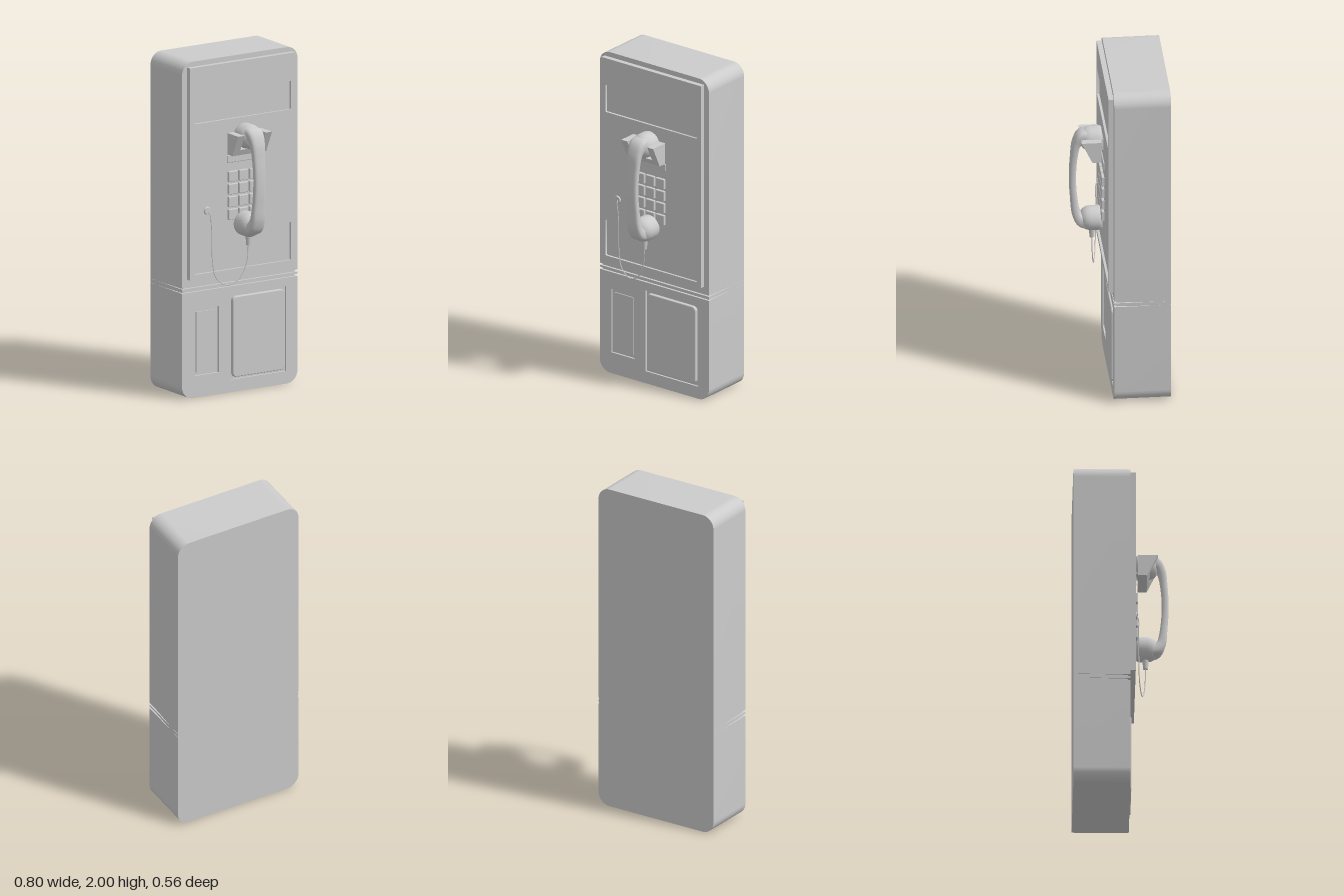
import * as THREE from 'three';
import { toCreasedNormals } from 'three/addons/utils/BufferGeometryUtils.js';
import { RoundedBoxGeometry } from 'three/addons/geometries/RoundedBoxGeometry.js';

const grey = new THREE.MeshStandardMaterial({ color: 0xcccccc, side: THREE.DoubleSide });

// Rectangle outline with separate bottom and top corner radii
function outline(x0, x1, y0, y1, rb = 0, rt = rb, Type = THREE.Shape) {
  const s = new Type();
  s.moveTo(x0 + rb, y0);
  s.lineTo(x1 - rb, y0);
  if (rb) s.absarc(x1 - rb, y0 + rb, rb, -Math.PI / 2, 0);
  s.lineTo(x1, y1 - rt);
  if (rt) s.absarc(x1 - rt, y1 - rt, rt, 0, Math.PI / 2);
  s.lineTo(x0 + rt, y1);
  if (rt) s.absarc(x0 + rt, y1 - rt, rt, Math.PI / 2, Math.PI);
  s.lineTo(x0, y0 + rb);
  if (rb) s.absarc(x0 + rb, y0 + rb, rb, Math.PI, Math.PI * 1.5);
  return s;
}

// Slab between two depths, with optional holes
function slab(shape, z0, z1, holes = []) {
  shape.holes.push(...holes);
  const g = new THREE.ExtrudeGeometry(shape, { depth: z1 - z0, bevelEnabled: false, curveSegments: 12 });
  return toCreasedNormals(g.translate(0, 0, z0), 0.5);
}
const hole = (x0, x1, y0, y1, r = 0) => outline(x0, x1, y0, y1, r, r, THREE.Path);

// Curved grip: rounded oblong sections swept along a path in the YZ plane
function gripGeometry() {
  // y, z, half width, half thickness
  const keys = [
    [1.535, 0.14, 0.06, 0.055], [1.548, 0.195, 0.055, 0.043], [1.51, 0.23, 0.047, 0.027],
    [1.41, 0.248, 0.04, 0.021], [1.28, 0.255, 0.037, 0.02], [1.15, 0.248, 0.04, 0.021],
    [1.04, 0.23, 0.047, 0.027], [1.002, 0.195, 0.055, 0.043], [1.01, 0.14, 0.06, 0.055]];
  const path = new THREE.CatmullRomCurve3(keys.map(k => new THREE.Vector3(0, k[0], k[1])));
  const size = new THREE.CatmullRomCurve3(keys.map(k => new THREE.Vector3(k[2], k[3], 0)));
  const rings = 48, sides = 20, pos = [], index = [];
  for (let i = 0; i <= rings; i++) {
    const p = path.getPoint(i / rings), t = path.getTangent(i / rings), s = size.getPoint(i / rings);
    for (let j = 0; j < sides; j++) {
      const a = j / sides * Math.PI * 2, c = Math.cos(a), d = Math.sin(a);
      const u = Math.sign(c) * Math.abs(c) ** 0.65 * s.x, v = Math.sign(d) * Math.abs(d) ** 0.65 * s.y;
      pos.push(u, p.y + t.z * v, p.z - t.y * v);
      if (i < rings) {
        const a0 = i * sides + j, b0 = i * sides + (j + 1) % sides;
        index.push(a0, b0, a0 + sides, b0, b0 + sides, a0 + sides);
      }
    }
  }
  const g = new THREE.BufferGeometry();
  g.setAttribute('position', new THREE.Float32BufferAttribute(pos, 3));
  g.setIndex(index);
  g.computeVertexNormals();
  return g;
}

export function createModel() {
  const model = new THREE.Group();
  model.name = 'wallTelephone';
  const add = (name, geometry, parent = model) => {
    const m = new THREE.Mesh(geometry, grey);
    m.name = name;
    parent.add(m);
    return m;
  };
  const group = name => {
    const g = new THREE.Group();
    g.name = name;
    model.add(g);
    return g;
  };
  const box = (name, x0, x1, y0, y1, z0, z1, parent, r = 0.004) =>
    add(name, new RoundedBoxGeometry(x1 - x0, y1 - y0, z1 - z0, 2, r), parent)
      .position.set((x0 + x1) / 2, (y0 + y1) / 2, (z0 + z1) / 2);

  // Cabinet: lower, band and upper sections separated by two grooves
  const cabinet = group('cabinet');
  add('lowerCabinet', slab(outline(-0.4, 0.4, 0, 0.63, 0.075, 0), -0.28, 0.038), cabinet);
  add('lowerFront', slab(outline(-0.4, 0.4, 0, 0.63, 0.075, 0), 0.038, 0.05,
    [hole(-0.065, 0.32, 0.075, 0.58), hole(-0.315, -0.145, 0.13, 0.525)]), cabinet);
  add('middleBand', slab(outline(-0.4, 0.4, 0.643, 0.655), -0.28, 0.05), cabinet);
  add('upperCabinet', slab(outline(-0.4, 0.4, 0.668, 2, 0, 0.075), -0.28, 0.05), cabinet);

  // Groove floor, tapering out to the cabinet sides towards the back
  const core = new THREE.Shape([[-0.399, 0.28], [0.399, 0.28], [0.399, 0.18], [0.388, -0.036],
    [-0.388, -0.036], [-0.399, 0.18]].map(p => new THREE.Vector2(...p)));
  const coreGeometry = slab(core, 0.625, 0.673);
  add('grooveFloor', coreGeometry.rotateX(-Math.PI / 2), cabinet);

  // Lower door and side pocket
  const door = new THREE.ExtrudeGeometry(outline(-0.046, 0.301, 0.094, 0.561, 0.02), {
    depth: 0.014, bevelSize: 0.006, bevelThickness: 0.006, bevelSegments: 3 });
  add('door', door.translate(0, 0, 0.039));
  add('pocketPanel', slab(outline(-0.297, -0.163, 0.148, 0.507), 0.038, 0.044));

  // Face panel with two recessed windows
  const face = group('facePanel');
  add('panelBack', slab(outline(-0.365, 0.365, 0.71, 1.97), 0.05, 0.066), face);
  add('panelFront', slab(outline(-0.365, 0.365, 0.71, 1.97), 0.066, 0.08,
    [hole(-0.335, 0.335, 1.635, 1.805, 0.005), hole(-0.335, 0.335, 0.74, 0.965, 0.008)]), face);

  // Keypad and the plate above it
  const keypad = group('keypad');
  for (let c = -1; c <= 1; c++)
    for (let r = 0; r < 4; r++)
      box('key', c * 0.073 - 0.032, c * 0.073 + 0.032, 1.038 + r * 0.075, 1.1 + r * 0.075, 0.074, 0.096, keypad);
  box('labelPlate', -0.11, 0.11, 1.375, 1.42, 0.074, 0.087, keypad);

  // Cradle: two wedge prongs joined by a low bridge
  const cradle = group('cradle');
  const wedge = (name, x0, x1, top) => {
    const front = 0.15 + (top - 1.43) * 0.48;
    const side = new THREE.Shape([[-0.098, 1.43], [-0.098, top], [-front, top], [-0.15, 1.43]]
      .map(p => new THREE.Vector2(...p)));
    add(name, slab(side, x0, x1).rotateY(Math.PI / 2), cradle);
  };
  wedge('prongLeft', 0.073, 0.117, 1.558);
  wedge('prongRight', -0.117, -0.073, 1.558);
  wedge('bridge', -0.073, 0.073, 1.465);
  box('cradleMount', -0.045, 0.045, 1.47, 1.55, 0.075, 0.105, cradle);

  // Handset: round ear and mouth cups joined by the grip
  const handset = group('handset');
  const profile = [[0, 0], [0.064, 0], [0.071, 0.006], [0.073, 0.02], [0.073, 0.065], [0.069, 0.088],
    [0.058, 0.108], [0.04, 0.122], [0, 0.13]].map(p => new THREE.Vector2(...p));
  for (const [name, y] of [['earCup', 1.532], ['mouthCup', 1.01]]) {
    const cup = new THREE.LatheGeometry(profile, 32).rotateX(Math.PI / 2);
    add(name, cup, handset).position.set(0, y, 0.087);
  }
  add('grip', gripGeometry(), handset);
  add('cordBoot', new THREE.CylinderGeometry(0.019, 0.014, 0.065, 16), handset).position.set(0, 0.918, 0.142);

  // Cord hanging from its socket to the handset
  const cord = group('cord');
  add('socket', new THREE.CylinderGeometry(0.02, 0.025, 0.01, 24).rotateX(Math.PI / 2), cord)
    .position.set(-0.245, 1.11, 0.083);
  const points = [[-0.243, 1.11, 0.08], [-0.238, 1.1, 0.095], [-0.226, 1.0, 0.098], [-0.222, 0.82, 0.1],
    [-0.2, 0.71, 0.105], [-0.13, 0.66, 0.117], [-0.055, 0.695, 0.13], [-0.012, 0.78, 0.139], [0, 0.9, 0.142]];
  const curve = new THREE.CatmullRomCurve3(points.map(p => new THREE.Vector3(...p)));
  add('cable', new THREE.TubeGeometry(curve, 80, 0.003, 8), cord);

  return model;
}
